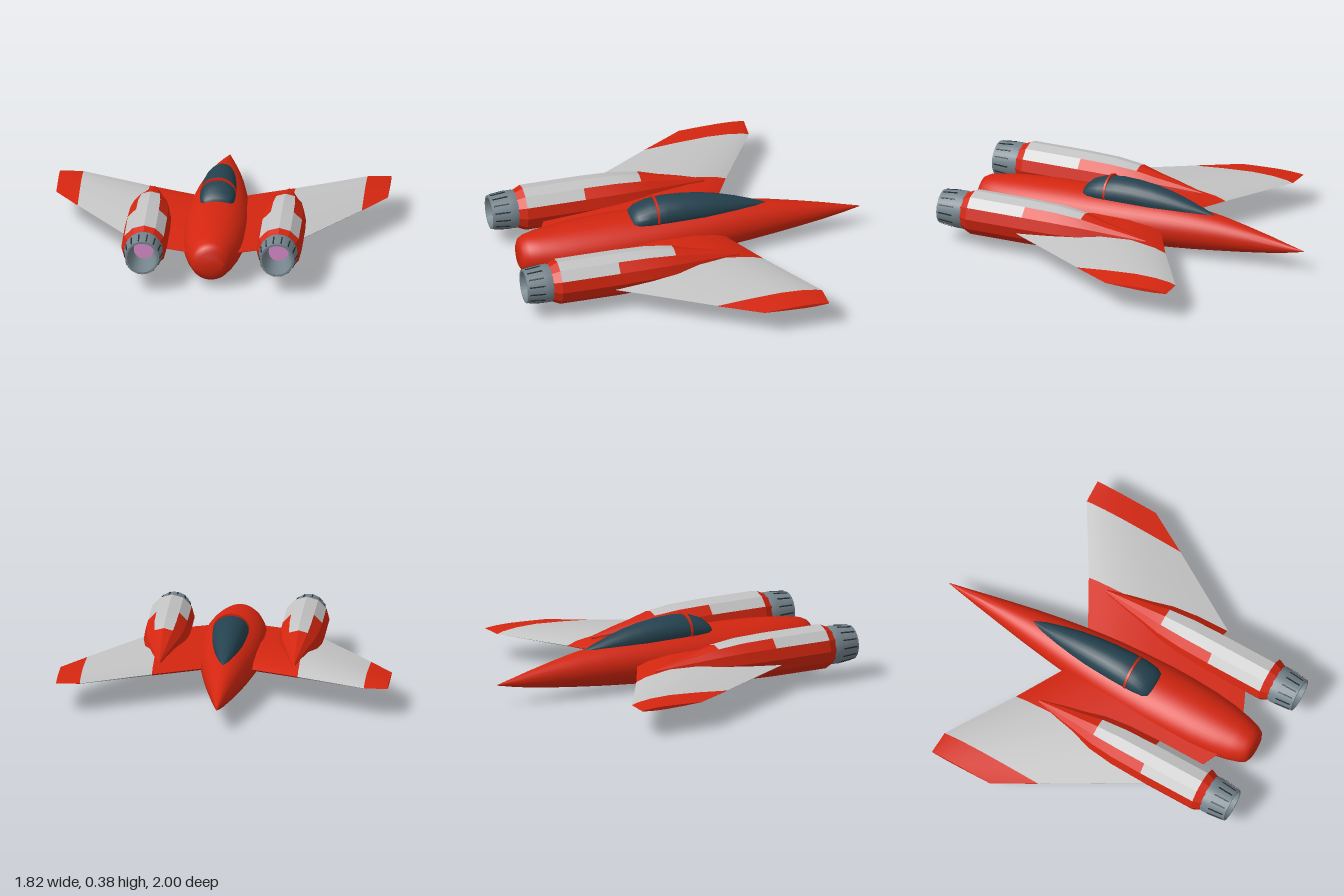
import * as THREE from 'three';
import { toCreasedNormals } from 'three/addons/utils/BufferGeometryUtils.js';

const paint = (name, color) => {
  const m = new THREE.MeshStandardMaterial({ color });
  m.name = name;
  return m;
};

// Skin closed rings of [x, y, z]; slot(i, j) picks the material index of each quad.
function loft(rings, crease, slot = () => 0, caps = true) {
  const n = rings[0].length;
  const faces = [[], []];
  for (let i = 0; i < rings.length - 1; i++) {
    for (let j = 0; j < n; j++) {
      const a = i * n + j, b = i * n + (j + 1) % n;
      faces[slot(i, j)].push(a, b, b + n, a, b + n, a + n);
    }
  }
  if (caps) {
    const last = (rings.length - 1) * n;
    for (let j = 1; j < n - 1; j++) {
      faces[0].push(0, j + 1, j, last, last + j, last + j + 1);
    }
  }
  const g = new THREE.BufferGeometry();
  g.setAttribute('position', new THREE.Float32BufferAttribute(rings.flat(2), 3));
  g.setIndex([...faces[0], ...faces[1]]);
  g.addGroup(0, faces[0].length, 0);
  if (faces[1].length) g.addGroup(faces[0].length, faces[1].length, 1);
  return toCreasedNormals(g, crease);
}

// Ellipse ring facing +z
function ellipse(z, rx, ry, cy, n) {
  return Array.from({ length: n }, (_, j) => {
    const a = j / n * Math.PI * 2;
    return [rx * Math.cos(a), cy + ry * Math.sin(a), z];
  });
}

export function createModel() {
  const red = paint('red paint', 0xd42610);
  const grey = paint('light grey paint', 0xc4c4c4);
  const glass = paint('dark canopy glass', 0x24424f);
  const metal = paint('nozzle metal', 0x75848c);
  const dark = paint('dark slots', 0x262e33);
  const pink = paint('engine glow', 0xd68ccb);

  const model = new THREE.Group();
  const add = (name, geometry, material, parent = model) => {
    const mesh = new THREE.Mesh(geometry, material);
    mesh.name = name;
    parent.add(mesh);
    return mesh;
  };

  // Fuselage: z, half width, bottom, top
  const hull = [
    [-1, .002, .123, .127], [-.9, .021, .102, .152], [-.8, .04, .085, .178],
    [-.65, .068, .066, .212], [-.5, .095, .05, .242], [-.35, .119, .036, .263],
    [-.2, .14, .025, .277], [0, .163, .012, .287], [.15, .174, .006, .291],
    [.3, .179, .003, .291], [.45, .176, .006, .288], [.6, .168, .012, .281],
    [.72, .154, .02, .271], [.82, .134, .028, .26], [.89, .112, .036, .248],
    [.92, .095, .05, .232], [.933, .07, .075, .205],
  ];
  add('fuselage', loft(hull.map(([z, w, b, t]) => ellipse(z, w, (t - b) / 2, (t + b) / 2, 40)), .7), red);

  // Canopy: z, half width, centre height, half height
  const bubble = [
    [-.47, .004, .24, .006], [-.4, .03, .25, .022], [-.3, .053, .262, .046],
    [-.2, .071, .272, .066], [-.1, .084, .28, .079], [0, .092, .287, .084],
    [.1, .097, .29, .084], [.2, .098, .287, .074], [.265, .092, .28, .054],
    [.295, .075, .275, .032], [.303, .05, .272, .02],
  ];
  add('canopy', loft(bubble.map(([z, w, c, h]) => ellipse(z, w, h, c, 24)), .7), glass);
  add('canopyFrame', loft([.154, .166].map(z => ellipse(z, .101, .09, .289, 24)), .7), red);

  // Wings: x, leading z, trailing z, half thickness
  const root = [.05, -.155, .82, .052], kink = [.4, -.35, .655, .05];
  const band = [.78, -.582, .01, .025], tip = [.91, -.588, -.22, .009];
  const foil = [[0, 0], [.06, .42], [.2, .85], [.4, 1], [.7, .62], [1, 0.03]];
  const section = ([x, lead, trail, thick]) => {
    const side = s => ([t, h]) => [x, s * h * thick, lead + t * (trail - lead)];
    return [...foil.map(side(1)), ...foil.slice(1).reverse().map(side(-1))];
  };
  for (const [name, turn] of [['leftWing', 0], ['rightWing', Math.PI]]) {
    const wing = new THREE.Group();
    wing.name = name;
    wing.position.y = .156;
    wing.rotation.z = turn;
    model.add(wing);
    const panel = (part, a, b, mat) => add(part, loft([section(a), section(b)], .6), mat, wing);
    panel('wingRoot', root, kink, red);
    panel('wingPanel', kink, band, grey);
    panel('wingTip', band, tip, red);
  }

  // Engine pods: twelve-sided, with stepped grey panels over the top facets
  const pod = [[-.22, .008], [-.08, .045], [.04, .072], [.15, .102], [.3, .12],
    [.48, .125], [.81, .125], [.86, .102]];
  const podShape = loft(pod.map(([z, r]) => ellipse(z, r, r, 0, 12)), .4, (i, j) => {
    const narrow = (i === 3 || i === 4) && (j === 2 || j === 3);
    const wide = i === 5 && j >= 1 && j <= 4;
    return narrow || wide ? 1 : 0;
  }, false);

  // Hollow nozzle: outer skin, lip, then inner cone
  const nozzleProfile = [[.098, .835], [.106, .865], [.105, .9], [.094, 1], [.083, 1], [.055, .84]]
    .map(([r, z]) => new THREE.Vector2(r, z));
  const nozzleShape = toCreasedNormals(new THREE.LatheGeometry(nozzleProfile, 20).rotateX(Math.PI / 2), .5);
  const slotShape = new THREE.BoxGeometry(.007, .006, .085).rotateX(.11).translate(0, .0995, .945);
  const glowShape = new THREE.CircleGeometry(.056, 24).translate(0, 0, .842);

  for (const [name, x] of [['leftEngine', .37], ['rightEngine', -.37]]) {
    const engine = new THREE.Group();
    engine.name = name;
    engine.position.set(x, .19, 0);
    model.add(engine);
    add('enginePod', podShape, [red, grey], engine);
    add('nozzle', nozzleShape, metal, engine);
    add('engineGlow', glowShape, pink, engine);
    for (let k = 0; k < 14; k++) {
      add('nozzleSlot', slotShape, dark, engine).rotation.z = (k + .5) / 14 * Math.PI * 2;
    }
  }
  return model;
}
